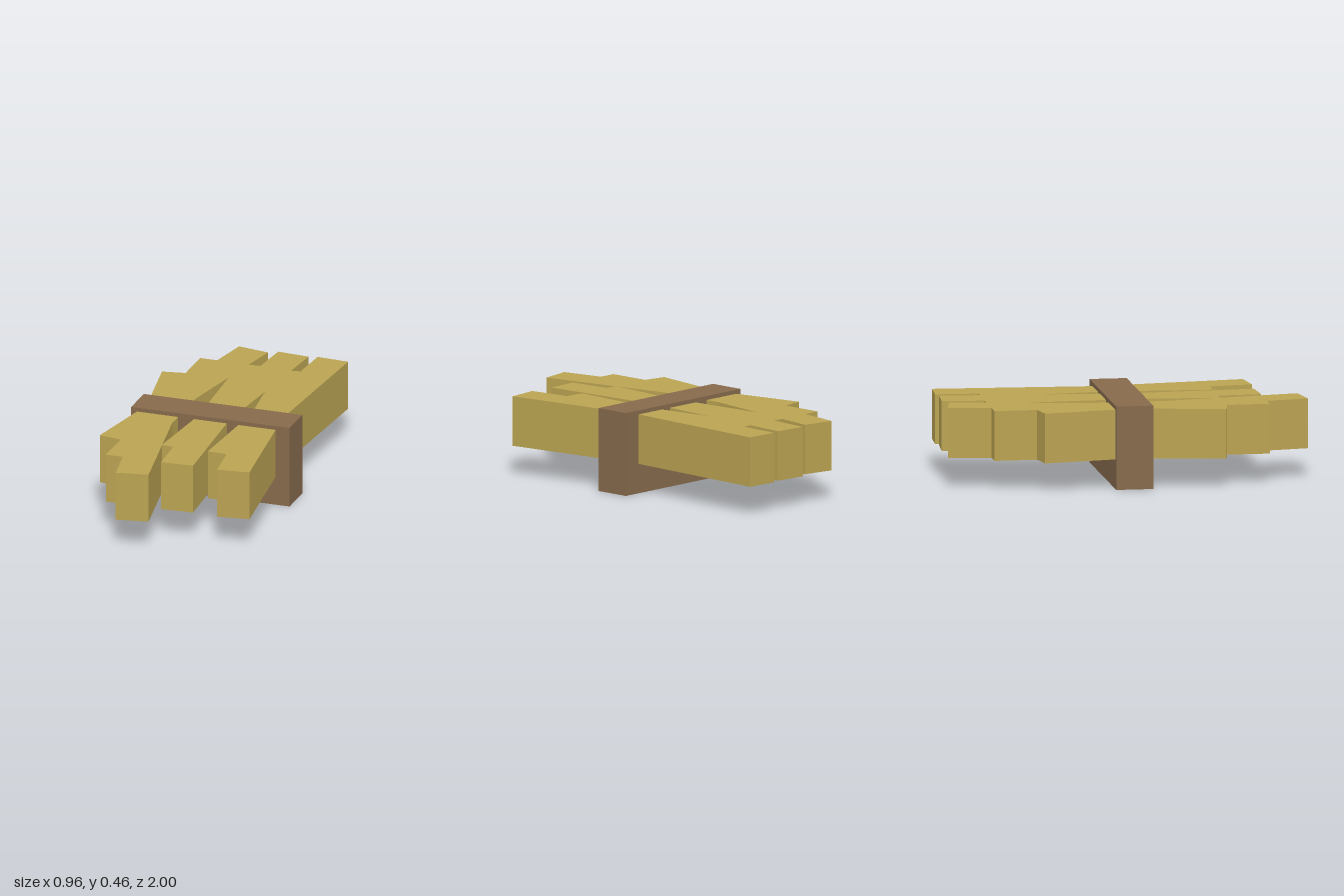
import * as THREE from 'three';

// Bundle of square-cut logs held by an upright band
export function createModel() {
  const model = new THREE.Group();
  model.name = 'logBundle';

  const wood = new THREE.MeshStandardMaterial({ color: 0xbaa352, flatShading: true });
  const bark = new THREE.MeshStandardMaterial({ color: 0x866a4c, flatShading: true });

  // Logs: centre x, centre z, turn about y in degrees
  const logs = [
    [-0.255, -0.232, -10.2],
    [-0.255, 0.232, 10.2],
    [-0.26, 0, 0],
    [0.045, -0.23, -4.9],
    [0.018, 0, 3.4],
    [0.295, -0.23, -3.4],
    [0.296, 0, 7],
  ];
  const logGeometry = new THREE.BoxGeometry(0.183, 0.277, 1.53);
  logs.forEach(([x, z, turn], i) => {
    const log = new THREE.Mesh(logGeometry, wood);
    log.name = `log${i + 1}`;
    log.position.set(x, 0.303, z);
    log.rotation.y = THREE.MathUtils.degToRad(turn);
    model.add(log);
  });

  // Band wrapped across the middle, also the foot of the bundle
  const band = new THREE.Mesh(new THREE.BoxGeometry(0.924, 0.464, 0.206), bark);
  band.name = 'band';
  band.position.set(0.02, 0.232, 0);
  model.add(band);

  return model;
}
